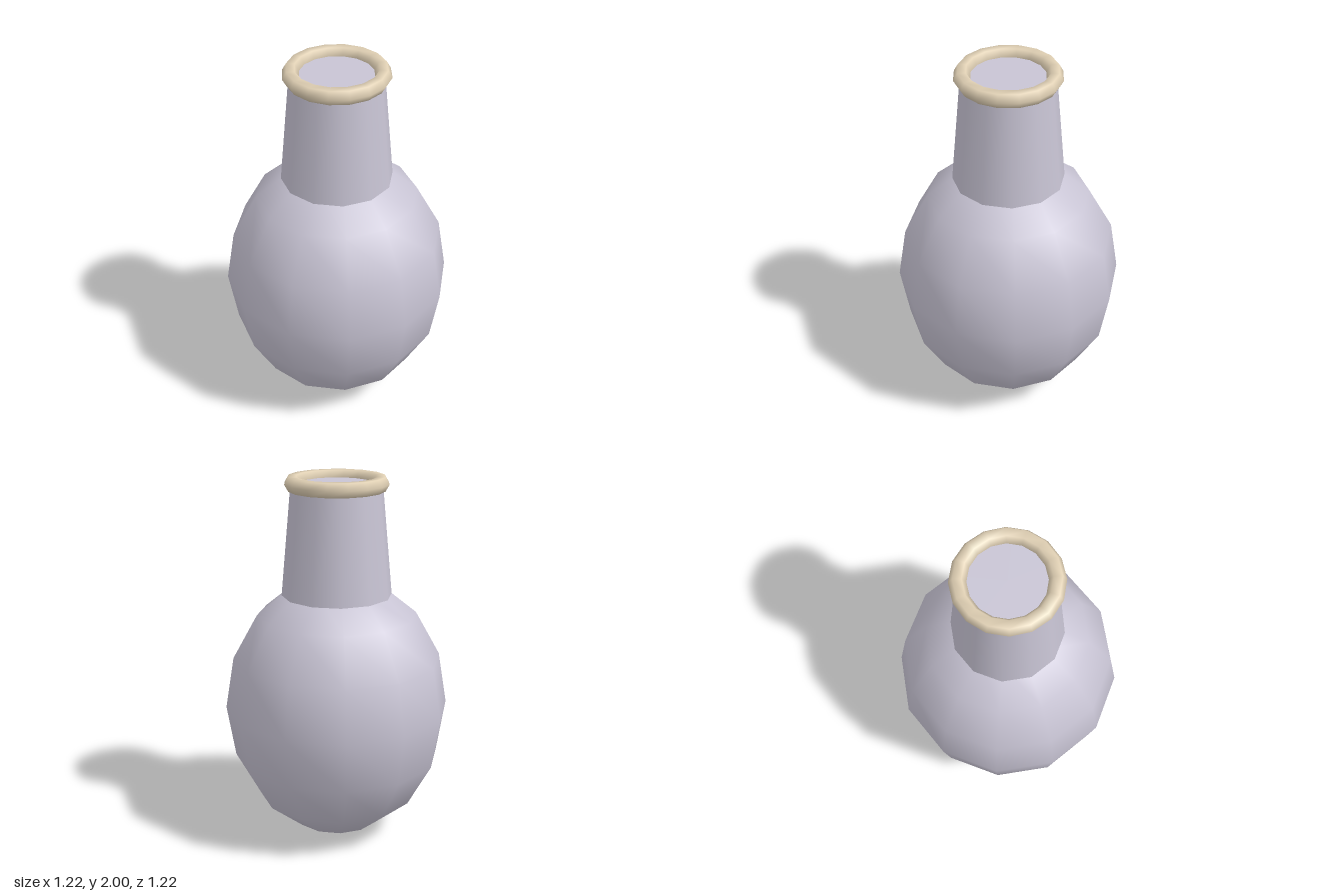
import * as THREE from 'three';

export function createModel() {
  const group = new THREE.Group();
  const glass = new THREE.MeshStandardMaterial({ color: 0xc8c4d4 });
  const cream = new THREE.MeshStandardMaterial({ color: 0xe0d0b4 });

  const add = (name, geometry, material, y) => {
    const mesh = new THREE.Mesh(geometry, material);
    mesh.name = name;
    mesh.position.y = y;
    group.add(mesh);
    return mesh;
  };

  // Egg-shaped body: a low-segment sphere stretched upward
  add('body', new THREE.SphereGeometry(0.61, 12, 8).scale(1, 1.205, 1), glass, 0.738);

  // Tapered neck, closed at the top and sunk slightly into the body
  const neckBottom = 1.34, neckTop = 1.963;
  add('neck', new THREE.CylinderGeometry(0.242, 0.299, neckTop - neckBottom, 12),
    glass, (neckBottom + neckTop) / 2);

  // Rolled rim with a six-sided section
  add('rim', new THREE.TorusGeometry(0.235, 0.043, 6, 16).rotateX(Math.PI / 2), cream, neckTop);

  return group;
}
